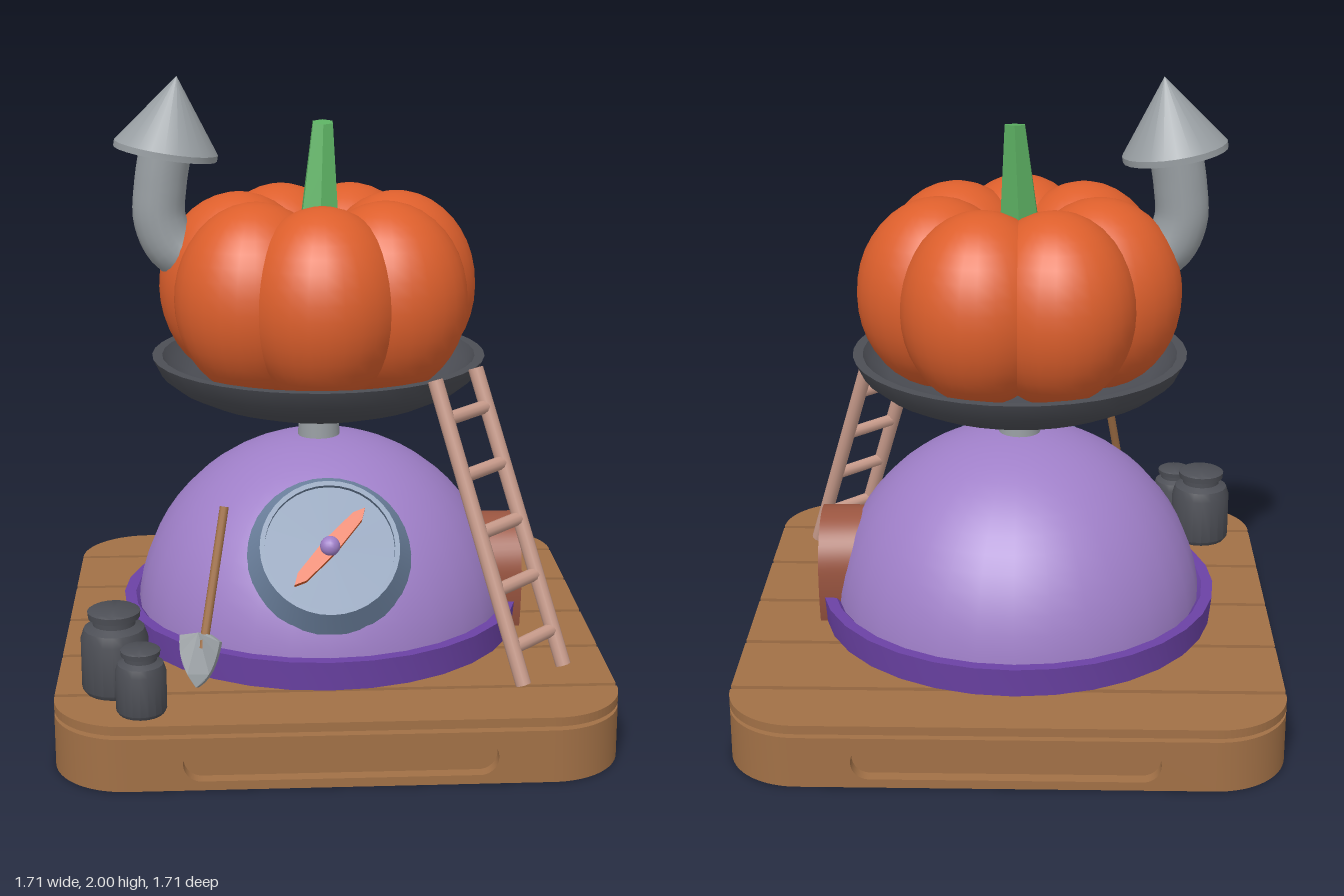
import * as THREE from 'three';
import { toCreasedNormals } from 'three/addons/utils/BufferGeometryUtils.js';

const V = (x, y, z) => new THREE.Vector3(x, y, z);
const mat = (name, color) => {
  const m = new THREE.MeshStandardMaterial({ color });
  m.name = name;
  return m;
};

export function createModel() {
  const wood = mat('wood', 0xa17046), lilac = mat('lilac', 0x9f7fc8), violet = mat('violet', 0x6b42a5);
  const iron = mat('iron', 0x4c4e55), tin = mat('tin', 0x989ea2), orange = mat('orange', 0xdd5f2c);
  const green = mat('green', 0x5db163), peach = mat('peach', 0xc99c8c), russet = mat('russet', 0x9a5540);
  const slate = mat('slate', 0x7086a4);
  const root = new THREE.Group();
  root.name = 'pumpkinHouse';

  // helpers
  const add = (parent, name, geo, material, x = 0, y = 0, z = 0) => {
    const m = new THREE.Mesh(geo, material);
    m.name = name;
    m.position.set(x, y, z);
    parent.add(m);
    return m;
  };
  const group = (name, x = 0, y = 0, z = 0, parent = root) => {
    const g = new THREE.Group();
    g.name = name;
    g.position.set(x, y, z);
    parent.add(g);
    return g;
  };
  const extrude = (shape, depth, curveSegments = 10) =>
    new THREE.ExtrudeGeometry(shape, { depth, curveSegments, bevelEnabled: false });
  const lathe = (pts, seg = 32) =>
    toCreasedNormals(new THREE.LatheGeometry(pts.map(p => new THREE.Vector2(...p)), seg), 0.6);
  const rod = (parent, name, a, b, r, material, seg = 10) => {
    const d = b.clone().sub(a);
    const m = add(parent, name, new THREE.CylinderGeometry(r, r, d.length(), seg), material);
    m.position.copy(a).addScaledVector(d, 0.5);
    m.quaternion.setFromUnitVectors(V(0, 1, 0), d.normalize());
  };
  const roundRect = (C, x0, y0, x1, y1, r) => {
    const s = new C();
    s.absarc(x1 - r, y0 + r, r, -Math.PI / 2, 0);
    s.absarc(x1 - r, y1 - r, r, 0, Math.PI / 2);
    s.absarc(x0 + r, y1 - r, r, Math.PI / 2, Math.PI);
    s.absarc(x0 + r, y0 + r, r, Math.PI, Math.PI * 1.5);
    s.closePath();
    return s;
  };

  // base block: core, slotted side panels and rounded corners
  const base = group('base');
  const E = 0.855, R = 0.225, W = E - R, H = 0.165, T = 0.04;
  const core = extrude(roundRect(THREE.Shape, T - E, T - E, E - T, E - T, R - T), H);
  add(base, 'baseCore', core.rotateX(-Math.PI / 2), wood);
  const panel = new THREE.Shape([[-W, 0], [W, 0], [W, H], [-W, H]].map(p => new THREE.Vector2(...p)));
  panel.holes.push(roundRect(THREE.Path, -0.465, 0.028, 0.465, 0.14, 0.055));
  const panelGeo = extrude(panel, T).translate(0, 0, E - T);
  const corner = new THREE.Shape();
  corner.absarc(W, W, R, 0, Math.PI / 2, false);
  corner.absarc(W, W, R - T, Math.PI / 2, 0, true);
  const cornerGeo = toCreasedNormals(extrude(corner, H).rotateX(-Math.PI / 2), 0.6);
  for (let i = 0; i < 4; i++) {
    add(base, 'basePanel', panelGeo, wood).rotation.y = i * Math.PI / 2;
    add(base, 'baseCorner', cornerGeo, wood).rotation.y = i * Math.PI / 2;
  }

  // deck planks, the outer two with rounded ends
  const deck = group('deck', 0, 0.178, 0);
  for (const z of [-0.465, -0.155, 0.155, 0.465])
    add(deck, 'plank', new THREE.BoxGeometry(2 * E, 0.028, 0.29), wood, 0, 0.014, z);
  const end = new THREE.Shape();
  end.moveTo(-E, W);
  end.lineTo(E, W);
  end.absarc(W, W, R, 0, Math.PI / 2, false);
  end.absarc(-W, W, R, Math.PI / 2, Math.PI, false);
  const endGeo = extrude(end, 0.028).rotateX(-Math.PI / 2);
  for (const a of [0, Math.PI]) add(deck, 'endPlank', endGeo, wood).rotation.y = a;

  // dome with foot ring and post
  const house = group('house', -0.02, 0, -0.018);
  add(house, 'dome', new THREE.SphereGeometry(0.605, 32, 16, 0, Math.PI * 2, 0, Math.PI * 0.52), lilac, 0, 0.235, 0);
  add(house, 'footRing', lathe([[0.59, 0.206], [0.642, 0.206], [0.652, 0.3], [0.615, 0.3], [0.59, 0.27]]), violet);
  add(house, 'post', new THREE.CylinderGeometry(0.062, 0.07, 0.16, 20), tin, -0.005, 0.88, 0);

  // dish under the pumpkin
  add(house, 'dish', lathe([[0, 0.912], [0.14, 0.92], [0.27, 0.943], [0.38, 0.977], [0.46, 1.015], [0.51, 1.055],
    [0.537, 1.11], [0.505, 1.11], [0.48, 1.07], [0.42, 1.03], [0.25, 0.99], [0, 0.98]], 40), iron, -0.006, 0, 0);

  // pumpkin: seven overlapping lobes
  const pumpkin = group('pumpkin', -0.005, 1.32, 0, house);
  const lobe = new THREE.SphereGeometry(1, 28, 20).scale(0.25, 0.305, 0.26);
  for (let i = 0; i < 7; i++) {
    const a = i * Math.PI * 2 / 7;
    add(pumpkin, 'lobe', lobe, orange, Math.sin(a) * 0.26, 0, Math.cos(a) * 0.26).rotation.y = a;
  }

  // faceted stem leaning back
  const stemGeo = new THREE.CylinderGeometry(0.036, 0.08, 0.42, 6, 3).toNonIndexed();
  const p = stemGeo.attributes.position;
  for (let i = 0; i < p.count; i++) {
    const t = p.getY(i) / 0.42 + 0.5;
    p.setX(i, p.getX(i) + 0.018 * t);
    p.setZ(i, p.getZ(i) + 0.045 - 0.06 * t);
    p.setY(i, p.getY(i) + 0.12 * -p.getZ(i) * t);
  }
  stemGeo.computeVertexNormals();
  add(house, 'stem', stemGeo, green, -0.008, 1.638, -0.012);

  // bent chimney pipe with a pointed cap
  const pipe = new THREE.CatmullRomCurve3([V(-0.4, 1.41, -0.03), V(-0.49, 1.46, -0.03), V(-0.53, 1.55, -0.03),
    V(-0.525, 1.66, -0.03), V(-0.505, 1.78, -0.03)]);
  add(root, 'chimneyPipe', new THREE.TubeGeometry(pipe, 20, 0.084, 18), tin);
  add(root, 'chimneyCap', lathe([[0, 0.02], [0.15, 0], [0.165, 0], [0.165, 0.02], [0, 0.245]], 24),
    tin, -0.508, 1.756, -0.03).rotation.z = -0.165;

  // round compass window facing forward and up
  const compass = group('compass', -0.015, 0.235, -0.02);
  compass.rotation.x = -0.65;
  add(compass, 'compassFrame', lathe([[0.278, 0.5], [0.215, 0.63], [0.2, 0.63], [0.2, 0.612], [0, 0.612]], 36)
    .rotateX(Math.PI / 2), slate);
  const needle = new THREE.Shape([[-0.165, 0], [-0.13, -0.018], [0, -0.026], [0.13, -0.018], [0.165, 0],
    [0.13, 0.018], [0, 0.026], [-0.13, 0.018]].map(q => new THREE.Vector2(...q)));
  add(compass, 'needle', extrude(needle, 0.022), orange, 0, 0, 0.618).rotation.z = 0.83;
  add(compass, 'hub', new THREE.SphereGeometry(0.031, 16, 12), lilac, 0, 0, 0.64);

  // arched door on the left side of the house
  const door = group('door', 0.44, 0.206, -0.013);
  door.rotation.y = Math.PI / 2;
  const frame = new THREE.Shape();
  frame.moveTo(-0.14, 0);
  frame.lineTo(0.14, 0);
  frame.quadraticCurveTo(0.168, 0.09, 0.166, 0.18);
  frame.absarc(0, 0.18, 0.166, 0, Math.PI, false);
  frame.quadraticCurveTo(-0.168, 0.09, -0.14, 0);
  const opening = new THREE.Path();
  opening.moveTo(-0.08, 0.02);
  opening.lineTo(0.08, 0.02);
  opening.lineTo(0.085, 0.225);
  opening.absarc(0, 0.225, 0.085, 0, Math.PI, false);
  opening.closePath();
  frame.holes.push(opening);
  add(door, 'doorFrame', toCreasedNormals(extrude(frame, 0.19, 14), 0.5), russet);
  add(door, 'doorBack', new THREE.BoxGeometry(0.17, 0.3, 0.02), russet, 0, 0.16, 0.14);
  const halfDoor = new THREE.Shape();
  halfDoor.moveTo(0.004, 0.022);
  halfDoor.lineTo(0.076, 0.022);
  halfDoor.lineTo(0.078, 0.225);
  halfDoor.absarc(0, 0.225, 0.078, 0, Math.PI / 2 - 0.05, false);
  const halfGeo = extrude(halfDoor, 0.022);
  add(door, 'doorPlank', halfGeo, russet, 0, 0, 0.15);
  add(door, 'doorPlank', halfGeo, russet, 0, 0, 0.172).rotation.y = Math.PI;
  add(door, 'doorKnob', new THREE.SphereGeometry(0.021, 14, 10), russet, -0.103, 0.158, 0.193);

  // ladder leaning on the dish
  const ladder = group('ladder');
  const rails = [[V(0.565, 0.222, 0.645), V(0.308, 1.12, 0.415)], [V(0.712, 0.222, 0.497), V(0.45, 1.12, 0.265)]];
  for (const [a, b] of rails) rod(ladder, 'rail', a, b, 0.024, peach, 12);
  for (let i = 0; i < 5; i++) {
    const t = 0.12 + i * 0.188;
    const [a, b] = rails.map(r => r[0].clone().lerp(r[1], t));
    rod(ladder, 'rung', a, b, 0.021, peach);
  }

  // two lidded jars
  const jar = lathe([[0, 0], [0.092, 0], [0.102, 0.015], [0.102, 0.17], [0.092, 0.2], [0.065, 0.213], [0.065, 0.23],
    [0.078, 0.234], [0.08, 0.254], [0.07, 0.26], [0, 0.26]], 20);
  add(root, 'largeJar', jar, iron, -0.672, 0.206, 0.575);
  add(root, 'smallJar', jar, iron, -0.587, 0.206, 0.745).scale.set(0.74, 0.77, 0.74);

  // shovel leaning on the dome
  const shovel = group('shovel', -0.425, 0.212, 0.595);
  const up = V(0.089, 0.52, -0.17).normalize();
  const side = V(0.13, 0.03, 0.06);
  side.addScaledVector(up, -side.dot(up)).normalize();
  shovel.quaternion.setFromRotationMatrix(new THREE.Matrix4().makeBasis(side, up, side.clone().cross(up)));
  rod(shovel, 'shovelHandle', V(0, 0.12, 0), V(0, 0.555, 0), 0.014, wood);
  const blade = new THREE.Shape();
  blade.moveTo(0, 0);
  blade.quadraticCurveTo(0.065, 0.05, 0.07, 0.15);
  blade.lineTo(0.02, 0.165);
  blade.lineTo(-0.02, 0.165);
  blade.lineTo(-0.07, 0.15);
  blade.quadraticCurveTo(-0.065, 0.05, 0, 0);
  const bladeGeo = extrude(blade, 0.016);
  const bp = bladeGeo.attributes.position;
  for (let i = 0; i < bp.count; i++) bp.setZ(i, bp.getZ(i) - 0.008 + 5 * bp.getX(i) ** 2);
  bladeGeo.computeVertexNormals();
  add(shovel, 'shovelBlade', bladeGeo, tin);
  return root;
}
